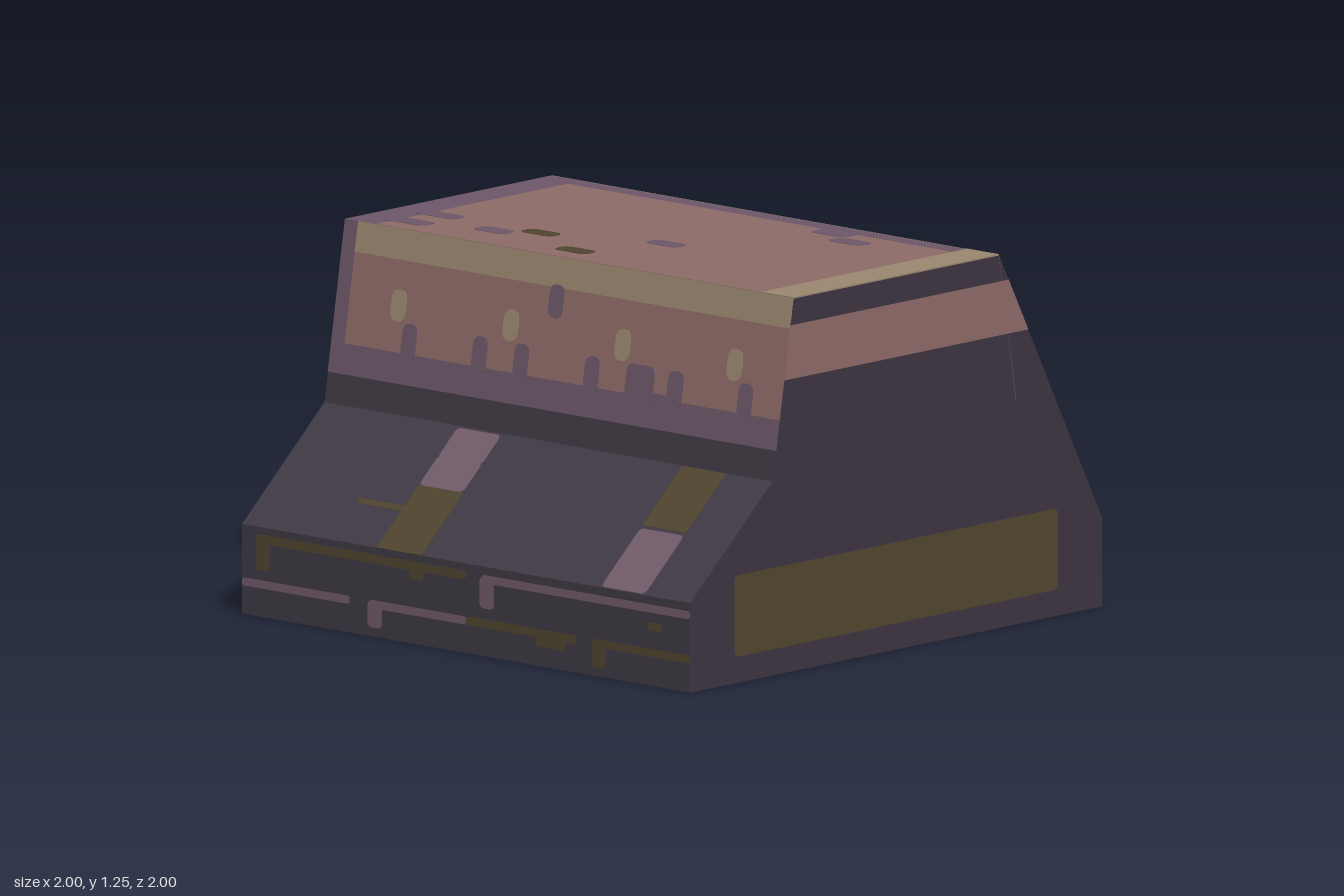
import * as THREE from 'three';

const mat = (name, color) => {
  const m = new THREE.MeshStandardMaterial({ color, side: THREE.DoubleSide });
  m.name = name;
  return m;
};

export function createModel() {
  const shell = mat('dark shell', 0x403a45);
  const sideDark = mat('dark violet side', 0x3d3542);
  const rose = mat('dusty rose', 0x8e6b68);
  const mauve = mat('mauve', 0x6c5768);
  const plum = mat('light plum', 0x745c6b);
  const tan = mat('tan', 0x9c8770);
  const olive = mat('olive', 0x50452f);

  const polygon = (pts) => new THREE.Shape(pts.map(([x, y]) => new THREE.Vector2(x, y)));

  const roundRect = (x0, x1, y0, y1, r) => {
    const s = new THREE.Shape();
    r = Math.min(r, (x1 - x0) / 2, (y1 - y0) / 2);
    s.moveTo(x0 + r, y0);
    s.lineTo(x1 - r, y0).quadraticCurveTo(x1, y0, x1, y0 + r);
    s.lineTo(x1, y1 - r).quadraticCurveTo(x1, y1, x1 - r, y1);
    s.lineTo(x0 + r, y1).quadraticCurveTo(x0, y1, x0, y1 - r);
    s.lineTo(x0, y0 + r).quadraticCurveTo(x0, y0, x0 + r, y0);
    return s;
  };

  // Thin plate straddling the sheet, so it shows inside and outside
  const plate = (name, shape, material, level) => {
    const depth = 0.0024 * level;
    const g = new THREE.ExtrudeGeometry(shape, { depth, bevelEnabled: false, curveSegments: 4 });
    g.translate(0, 0, -depth / 2);
    const m = new THREE.Mesh(g, material);
    m.name = name;
    return m;
  };

  // Full-width sheet from (y,z) p0 to p1; plates are [name, material, level, x0, x1, v0, v1, radius]
  // with v running from v0 to v1 along the sheet
  const panel = (name, p0, p1, v0, v1, base, plates) => {
    const up = new THREE.Vector3(0, p1[0] - p0[0], p1[1] - p0[1]);
    const len = up.length();
    const k = len / (v1 - v0);
    up.normalize();
    const group = new THREE.Group();
    group.name = name;
    const right = new THREE.Vector3(1, 0, 0);
    const basis = new THREE.Matrix4().makeBasis(right, up, right.clone().cross(up));
    group.quaternion.setFromRotationMatrix(basis);
    group.position.set(0, p0[0], p0[1]);
    const sheet = new THREE.Mesh(new THREE.PlaneGeometry(2, len).translate(0, len / 2, 0), base);
    sheet.name = name + 'Sheet';
    group.add(sheet);
    for (const [n, m, level, x0, x1, a, b, r = 0] of plates) {
      group.add(plate(n, roundRect(x0, x1, (a - v0) * k, (b - v0) * k, r), m, level));
    }
    return group;
  };

  // Lower wall with dripping pipe lines
  const skirtPlates = [
    ['pipe', olive, 1, -0.94, 0, 0.245, 0.275, 0.015],
    ['pipeDrip', olive, 1, -0.94, -0.875, 0.155, 0.272, 0.02],
    ['pipeDrip', olive, 1, -0.255, -0.19, 0.215, 0.26, 0.015],
    ['pipe', plum, 1, 0.07, 1, 0.245, 0.272, 0.012],
    ['pipeDrip', plum, 1, 0.06, 0.125, 0.16, 0.265, 0.02],
    ['stain', olive, 1, 0.81, 0.875, 0.185, 0.212, 0.01],
    ['pipe', plum, 1, -1, -0.52, 0.095, 0.122, 0.01],
    ['pipe', plum, 1, -0.43, 0, 0.095, 0.122, 0.01],
    ['pipeDrip', plum, 1, -0.44, -0.375, 0.03, 0.12, 0.02],
    ['pipe', olive, 1, 0, 0.49, 0.095, 0.124, 0.01],
    ['pipeDrip', olive, 1, 0.31, 0.44, 0.065, 0.11, 0.015],
    ['pipe', olive, 1, 0.57, 1, 0.097, 0.124, 0.01],
    ['pipeDrip', olive, 1, 0.56, 0.625, 0.03, 0.12, 0.02],
  ];

  // Upper wall with painted bands, drips and spots
  const wallPlates = [
    ['mauveBand', mauve, 1, -1, 1, 0.75, 1.25],
    ['roseBand', rose, 2, -0.94, 1, 0.85, 1.15],
    ['tanBand', tan, 2, -0.94, 1, 1.15, 1.25],
    ['roundedCornerStep', mauve, 3, 0.43, 0.5, 0.84, 0.865, 0.01],
    ['spot', mauve, 3, -0.065, 0, 1.05, 1.16, 0.03],
  ];
  for (const [a, b] of [[-0.69, -0.625], [-0.375, -0.31], [-0.19, -0.125], [0.125, 0.19],
    [0.31, 0.435], [0.495, 0.565], [0.81, 0.875]]) {
    wallPlates.push(['drip', mauve, 3, a, b, 0.83, 0.95, 0.03]);
  }
  for (const x of [-0.72, -0.22, 0.28, 0.78]) {
    wallPlates.push(['lightSpot', tan, 3, x - 0.034, x + 0.034, 0.95, 1.055, 0.034]);
  }

  // Sloping aprons with coloured tiles
  const frontTiles = [
    ['tile', plum, 1, -0.4, -0.205, 0.56, 0.645, 0.02],
    ['tile', plum, 1, -0.4, -0.205, 0.48, 0.565, 0.02],
    ['tile', olive, 1, -0.4, -0.2, 0.3, 0.48, 0.01],
    ['crack', olive, 1, -0.6, -0.39, 0.405, 0.42, 0.006],
    ['tile', olive, 1, 0.6, 0.795, 0.478, 0.648, 0.01],
    ['tile', plum, 1, 0.6, 0.795, 0.302, 0.47, 0.02],
  ];
  const backTiles = [
    ['tile', olive, 1, 0.2, 0.4, 0.475, 0.65, 0.01],
    ['crack', olive, 1, 0.39, 0.6, 0.525, 0.552, 0.01],
    ['tile', plum, 1, 0.205, 0.4, 0.39, 0.475, 0.02],
    ['tile', plum, 1, 0.205, 0.4, 0.302, 0.385, 0.02],
    ['tile', plum, 1, -0.795, -0.6, 0.48, 0.648, 0.02],
    ['tile', olive, 1, -0.795, -0.6, 0.302, 0.472, 0.01],
  ];

  const model = new THREE.Group();
  model.name = 'steppedHousing';

  // Front, and the back as the same build turned round
  [['front', frontTiles, 0], ['back', backTiles, Math.PI]].forEach(([name, tiles, turn]) => {
    const half = new THREE.Group();
    half.name = name;
    half.rotation.y = turn;
    half.add(
      panel(name + 'Skirt', [0, 1], [0.3, 1], 0, 0.3, shell, skirtPlates),
      panel(name + 'Apron', [0.3, 1], [0.65, 0.6], 0.3, 0.65, shell, tiles),
      panel(name + 'Wall', [0.65, 0.6], [1.25, 0.5], 0.65, 1.25, shell, wallPlates),
    );
    model.add(half);
  });

  // Top, v is -z
  model.add(panel('top', [1.25, 0.5], [1.25, -0.5], -0.5, 0.5, mauve, [
    ['roseField', rose, 1, -0.86, 0.86, -0.5, 0.43, 0.02],
    ['tanEdge', tan, 2, 0.86, 1, -0.5, 0.5],
    ['roseCorner', rose, 1, 0.8, 0.86, -0.5, -0.4],
    ['edgeChip', mauve, 2, -0.9, -0.72, -0.28, -0.21, 0.03],
    ['edgeChip', mauve, 2, -0.9, -0.72, -0.43, -0.355, 0.03],
    ['edgeChip', mauve, 2, 0.28, 0.43, 0.36, 0.45, 0.03],
    ['edgeChip', mauve, 2, 0.42, 0.57, 0.29, 0.362, 0.03],
    ['spot', mauve, 2, 0, 0.142, -0.14, -0.07, 0.03],
    ['spot', mauve, 2, -0.572, -0.43, -0.355, -0.284, 0.03],
    ['spot', olive, 2, -0.43, -0.288, -0.28, -0.212, 0.03],
    ['spot', olive, 2, -0.145, 0, -0.425, -0.355, 0.03],
  ]));

  // Side walls; the right-hand sheet runs straight down at the back as a fin
  const side = (name, sign, fin) => {
    const g = new THREE.Group();
    g.name = name;
    g.position.x = sign;
    g.rotation.y = sign * Math.PI / 2;
    const outline = [[-1, 0], [1, 0], [1, 0.3], [0.6, 0.65], [0.5, 1.25],
      [-0.5, 1.25], [-0.6, 0.65], [-1, 0.3]];
    if (fin) outline.splice(3, 1);
    const sheet = new THREE.Mesh(new THREE.ShapeGeometry(polygon(outline)), sideDark);
    sheet.name = name + 'Sheet';
    const [low, high] = fin ? [0.642, 0.547] : [0.545, 0.515];
    const band = polygon([[-0.545, 0.98], [low, 0.98], [high, 1.16], [-0.515, 1.16]]);
    g.add(sheet, plate('sideBand', band, rose, 1),
      plate('sideStrip', roundRect(-0.785, 0.785, 0.088, 0.36, 0.02), olive, 1));
    return g;
  };
  model.add(side('finnedSide', 1, true), side('plainSide', -1, false));
  return model;
}
